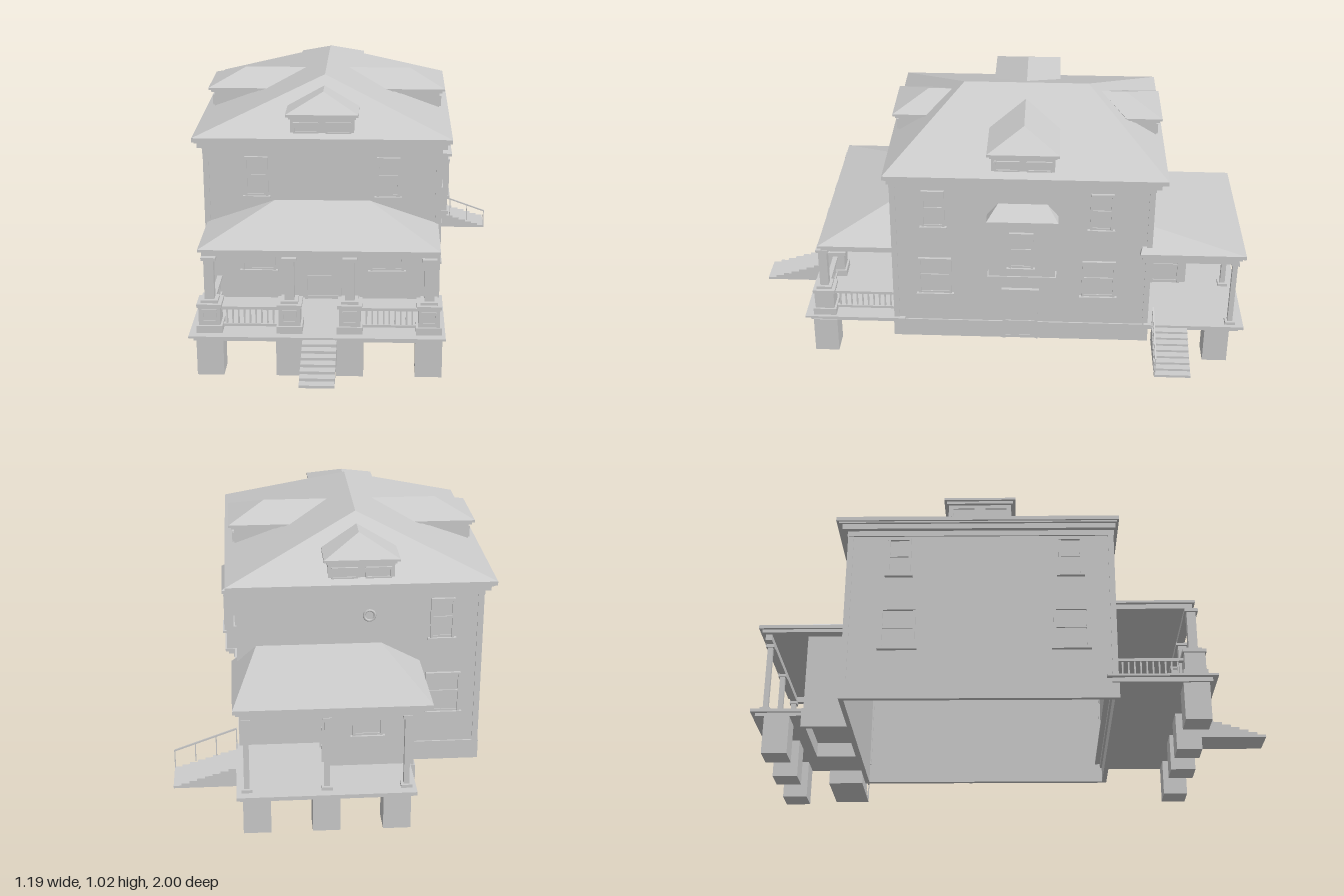
import * as THREE from 'three';
import { ConvexGeometry } from 'three/addons/geometries/ConvexGeometry.js';

const mat = new THREE.MeshStandardMaterial({ color: 0xcccccc, side: THREE.DoubleSide });
const CX = -0.107; // symmetry line of the house

function add(parent, name, geometry) {
  const m = new THREE.Mesh(geometry, mat);
  m.name = name;
  parent.add(m);
  return m;
}

// Box from its extents
function box(parent, name, x0, x1, y0, y1, z0, z1) {
  const m = add(parent, name, new THREE.BoxGeometry(x1 - x0, y1 - y0, z1 - z0));
  m.position.set((x0 + x1) / 2, (y0 + y1) / 2, (z0 + z1) / 2);
  return m;
}

function group(parent, name, x = 0, y = 0, z = 0, turn = 0) {
  const g = new THREE.Group();
  g.name = name;
  g.position.set(x, y, z);
  g.rotation.y = turn;
  parent.add(g);
  return g;
}

// Roof: eave rectangle with thickness, rising to a ridge between two points
function hipRoof(parent, name, [x0, x1, z0, z1], y, thick, a, b) {
  const pts = [];
  for (const x of [x0, x1]) for (const z of [z0, z1])
    pts.push(new THREE.Vector3(x, y, z), new THREE.Vector3(x, y - thick, z));
  pts.push(new THREE.Vector3(...a), new THREE.Vector3(...b));
  return add(parent, name, new ConvexGeometry(pts));
}

// Four open-bottomed walls
function walls(parent, name, x0, x1, y0, y1, z0, z1) {
  const rect = (s, k) => [[x0 + k, -z1 + k], [x1 - k, -z1 + k], [x1 - k, -z0 - k], [x0 + k, -z0 - k]]
    .forEach(([x, y], i) => (i ? s.lineTo(x, y) : s.moveTo(x, y)));
  const shape = new THREE.Shape(), hole = new THREE.Path();
  rect(shape, 0);
  rect(hole, 0.012);
  shape.holes.push(hole);
  const m = add(parent, name, new THREE.ExtrudeGeometry(shape, { depth: y1 - y0, bevelEnabled: false }));
  m.rotation.x = -Math.PI / 2;
  m.position.y = y0;
}

// Sash window, centred on its opening, facing local +z
function sashWindow(parent, x, y, z, turn, w, h) {
  const g = group(parent, 'window', x, y, z, turn);
  const a = w / 2, b = h / 2, t = 0.009;
  for (const s of [-1, 1])
    box(g, 'windowJamb', s * a - t / 2, s * a + t / 2, -b, b, -0.005, 0.01);
  box(g, 'windowHead', -a - t / 2, a + t / 2, b - t, b, -0.005, 0.012);
  box(g, 'windowSill', -a - 0.013, a + 0.013, -b - 0.006, -b + 0.004, -0.005, 0.015);
  box(g, 'meetingRail', -a, a, 0, 0.008, -0.005, 0.007);
  box(g, 'windowPane', -a, a, -b, b, -0.005, 0.002);
  box(g, 'bottomRail', -a, a, -b, -b + 0.012, -0.005, 0.006);
}

// Panelled door, standing on local y = 0
function door(parent, x, y, z, turn, w, h) {
  const g = group(parent, 'door', x, y, z, turn);
  const a = w / 2;
  for (const s of [-1, 1])
    box(g, 'doorJamb', s * (a - 0.006) - 0.006, s * (a - 0.006) + 0.006, 0, h, -0.005, 0.011);
  box(g, 'doorHead', -a - 0.004, a + 0.004, h - 0.014, h, -0.005, 0.013);
  box(g, 'doorLeaf', -a, a, 0, h, -0.005, 0.002);
  box(g, 'lockRail', -a, a, h * 0.31, h * 0.35, -0.005, 0.006);
  box(g, 'kickRail', -a, a, 0, h * 0.05, -0.005, 0.006);
}

// Dormer facing local +z: front eave at z = 0, roof running back to z = -tip
function dormer(parent, x, z, turn, eaveBack, hip, tip) {
  const g = group(parent, 'dormer', x, 0, z, turn);
  const w = 0.138;
  hipRoof(g, 'dormerRoof', [-w, w, -eaveBack, 0], 0.932, 0.009, [0, 0.988, -hip], [0, 0.988, -tip]);
  box(g, 'dormerCornice', -w + 0.01, w - 0.01, 0.912, 0.925, -eaveBack, -0.01);
  box(g, 'dormerBody', -w + 0.017, w - 0.017, 0.84, 0.918, -eaveBack, -0.022);
  for (const s of [-1, 1]) {
    const p = group(g, 'dormerWindow', s * 0.062, 0.877, -0.022);
    box(p, 'pane', -0.045, 0.045, -0.018, 0.018, -0.004, 0.002);
    for (const k of [-1, 1]) {
      box(p, 'frameRail', -0.048, 0.048, k * 0.018 - 0.003, k * 0.018 + 0.003, -0.004, 0.008);
      box(p, 'frameStile', k * 0.045 - 0.004, k * 0.045 + 0.004, -0.018, 0.018, -0.004, 0.008);
    }
  }
}

// Railing between two points along local x
function railing(parent, x, z, turn, len) {
  const g = group(parent, 'railing', x, 0.18, z, turn);
  box(g, 'topRail', 0, len, 0.08, 0.091, -0.01, 0.01);
  box(g, 'bottomRail', 0, len, 0.012, 0.022, -0.008, 0.008);
  const n = Math.round(len / 0.022);
  for (let i = 1; i < n; i++) {
    const p = (len * i) / n;
    box(g, 'baluster', p - 0.003, p + 0.003, 0.018, 0.083, -0.003, 0.003);
  }
}

export function createModel() {
  const house = new THREE.Group();
  house.name = 'house';
  const R = Math.PI / 2;

  // Main block
  walls(house, 'mainWalls', -0.558, 0.344, 0.095, 0.82, -0.612, 0.4);
  walls(house, 'baseBand', -0.564, 0.35, 0.095, 0.172, -0.618, 0.406);
  walls(house, 'frieze', -0.564, 0.35, 0.775, 0.815, -0.618, 0.406);
  for (const x of [-0.562, 0.326]) for (const z of [-0.616, 0.382])
    box(house, 'cornerBoard', x, x + 0.022, 0.172, 0.78, z, z + 0.022);

  // Main roof and cornice
  box(house, 'lowerCornice', -0.582, 0.368, 0.797, 0.82, -0.637, 0.412);
  box(house, 'upperCornice', -0.592, 0.377, 0.818, 0.83, -0.65, 0.418);
  hipRoof(house, 'mainRoof', [-0.6, 0.386, -0.66, 0.425], 0.84, 0.016, [CX, 1.02, -0.36], [CX, 1.02, 0.14]);
  dormer(house, CX, 0.42, 0, 0.135, 0.135, 0.23);
  dormer(house, CX, -0.652, Math.PI, 0.142, 0.142, 0.24);
  dormer(house, 0.37, -0.11, R, 0.245, 0.14, 0.39);
  dormer(house, -0.584, -0.11, -R, 0.245, 0.14, 0.39);

  // Windows of the main block
  for (const s of [-1, 1]) {
    sashWindow(house, CX + s * 0.252, 0.683, 0.4, 0, 0.08, 0.16);
    sashWindow(house, CX + s * 0.25, 0.38, 0.4, 0, 0.122, 0.165);
    const wallX = s > 0 ? 0.344 : -0.558;
    for (const [up, low] of [[0.237, 0.235], [-0.415, -0.412]]) {
      sashWindow(house, wallX, 0.683, up, s * R, 0.08, 0.16);
      sashWindow(house, wallX, 0.38, low, s * R, 0.122, 0.165);
    }
  }
  sashWindow(house, -0.41, 0.683, -0.612, Math.PI, 0.08, 0.16);
  sashWindow(house, -0.42, 0.38, -0.612, Math.PI, 0.122, 0.165);
  add(house, 'roundVent', new THREE.TorusGeometry(0.02, 0.005, 6, 16)).position.set(-0.14, 0.7, -0.613);
  door(house, CX, 0.18, 0.402, 0, 0.145, 0.275);
  door(house, 0.346, 0.097, -0.104, R, 0.142, 0.232);

  // Side bay
  box(house, 'bayBody', 0.34, 0.388, 0.405, 0.655, -0.24, 0.02);
  box(house, 'bayFloorTrim', 0.34, 0.394, 0.4, 0.412, -0.245, 0.025);
  hipRoof(house, 'bayRoof', [0.33, 0.404, -0.248, 0.028], 0.662, 0.012, [0.345, 0.712, -0.205], [0.345, 0.712, -0.015]);
  sashWindow(house, 0.388, 0.53, -0.106, R, 0.085, 0.16);
  for (const z of [-0.21, -0.11, -0.01]) {
    box(house, 'bayBracket', 0.34, 0.382, 0.385, 0.402, z - 0.02, z + 0.02);
    box(house, 'bayBracketFoot', 0.34, 0.362, 0.368, 0.386, z - 0.016, z + 0.016);
  }

  // Front porch
  const porch = group(house, 'frontPorch');
  box(porch, 'porchDeck', -0.588, 0.36, 0.172, 0.18, 0.36, 0.765);
  box(porch, 'porchRim', -0.572, 0.345, 0.155, 0.172, 0.38, 0.745);
  hipRoof(porch, 'porchRoof', [-0.553, 0.338, 0.38, 0.7], 0.497, 0.01, [-0.29, 0.588, 0.4], [0.075, 0.588, 0.4]);
  box(porch, 'porchBeam', -0.54, 0.325, 0.468, 0.49, 0.665, 0.69);
  for (const x of [-0.54, 0.3]) box(porch, 'porchSideBeam', x, x + 0.025, 0.468, 0.49, 0.4, 0.67);
  const cols = [-0.513, -0.217, 0.006, 0.299];
  for (const x of cols) {
    const c = group(porch, 'porchColumn', x, 0, 0.686);
    box(c, 'pier', -0.05, 0.05, 0.01, 0.158, -0.048, 0.048);
    box(c, 'pedestalFoot', -0.048, 0.048, 0.18, 0.208, -0.046, 0.046);
    box(c, 'pedestal', -0.04, 0.04, 0.2, 0.285, -0.038, 0.038);
    box(c, 'pedestalCap', -0.046, 0.046, 0.28, 0.293, -0.044, 0.044);
    box(c, 'pedestalTop', -0.032, 0.032, 0.293, 0.304, -0.03, 0.03);
    box(c, 'shaft', -0.018, 0.018, 0.3, 0.47, -0.017, 0.017);
    box(c, 'capital', -0.027, 0.027, 0.458, 0.47, -0.025, 0.025);
    for (const s of [-1, 1]) {
      box(c, 'panelRail', -0.027, 0.027, 0.246 + s * 0.022 - 0.003, 0.246 + s * 0.022 + 0.003, 0.036, 0.042);
      box(c, 'panelStile', s * 0.025 - 0.003, s * 0.025 + 0.003, 0.224, 0.268, 0.036, 0.042);
    }
  }
  for (const i of [0, 2]) railing(porch, cols[i] + 0.04, 0.686, 0, cols[i + 1] - cols[i] - 0.08);
  for (const x of [cols[0], cols[3]]) railing(porch, x, 0.65, R, 0.25);
  for (let i = 0; i < 7; i++)
    box(porch, 'frontStep', -0.167, -0.04, 0.097, 0.17 - i * 0.0105, 0.73, 0.798 + i * 0.0336);

  // Back room and back porch
  const back = group(house, 'backPorch');
  walls(back, 'backRoom', -0.292, 0.035, 0.095, 0.48, -0.79, -0.61);
  walls(back, 'backRoomBase', -0.298, 0.04, 0.095, 0.172, -0.796, -0.61);
  sashWindow(back, -0.12, 0.38, -0.79, Math.PI, 0.1, 0.16);
  door(back, 0.035, 0.18, -0.703, R, 0.125, 0.255);
  box(back, 'backDeck', -0.28, 0.362, 0.165, 0.178, -0.998, -0.6);
  box(back, 'backRim', -0.268, 0.35, 0.152, 0.165, -0.98, -0.6);
  hipRoof(back, 'backRoof', [-0.33, 0.37, -0.98, -0.57], 0.512, 0.014, [-0.18, 0.592, -0.6], [0.275, 0.592, -0.6]);
  box(back, 'backCornice', -0.32, 0.36, 0.485, 0.5, -0.968, -0.58);
  box(back, 'backBeam', -0.3, 0.345, 0.462, 0.487, -0.957, -0.932);
  box(back, 'backSideBeam', 0.32, 0.345, 0.462, 0.487, -0.94, -0.61);
  for (const x of [-0.215, 0.04, 0.29]) {
    box(back, 'backPier', x - 0.05, x + 0.05, 0, 0.156, -0.945, -0.847);
  }
  for (const x of [-0.245, 0.04, 0.325]) {
    box(back, 'backPost', x - 0.01, x + 0.01, 0.178, 0.465, -0.955, -0.935);
    box(back, 'backPostFoot', x - 0.02, x + 0.02, 0.178, 0.19, -0.965, -0.925);
    box(back, 'backPostHead', x - 0.016, x + 0.016, 0.45, 0.465, -0.961, -0.929);
  }

  // Side steps with a handrail
  for (let i = 0; i < 8; i++)
    box(back, 'sideStep', 0.345, 0.391 + i * 0.029, 0.095, 0.168 - i * 0.009, -0.773, -0.632);
  const slope = (x) => 0.26 - (x - 0.36) * 0.36;
  for (const x of [0.358, 0.435, 0.514, 0.592])
    box(back, 'handrailPost', x - 0.002, x + 0.002, x > 0.55 ? 0.098 : 0.13, slope(x), -0.636, -0.632);
  const rail = box(back, 'handrail', -0.125, 0.125, -0.003, 0.003, -0.003, 0.003);
  rail.position.set(0.475, slope(0.475), -0.634);
  rail.rotation.z = -Math.atan(0.36);
  return house;
}
